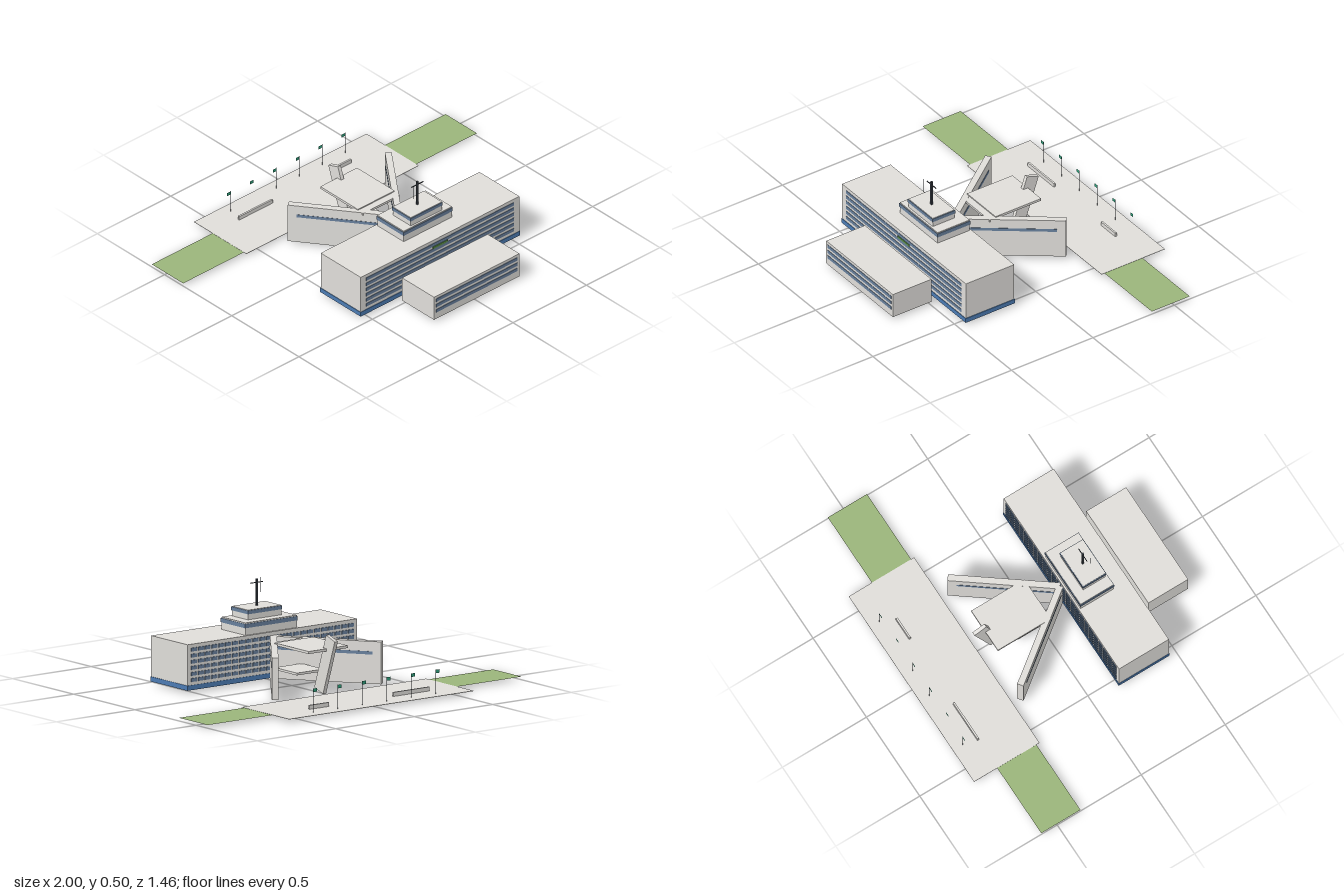
import * as THREE from 'three';

const mat = (name, color, side = THREE.FrontSide) => {
  const m = new THREE.MeshStandardMaterial({ color, side });
  m.name = name;
  return m;
};

export function createModel() {
  const root = new THREE.Group();
  root.name = 'assemblyComplex';
  const concrete = mat('concrete', 0xe0deda);
  const glass = mat('windowBlueGrey', 0x68809d);
  const blue = mat('baseBlue', 0x4c7cb4);
  const grass = mat('grass', 0x9bb67b, THREE.DoubleSide);
  const steel = mat('darkSteel', 0x3a4048);
  const teal = mat('flagTeal', 0x2fa07c, THREE.DoubleSide);
  const green = mat('signGreen', 0x5c8f4a);

  // Box given by its limits on each axis
  const box = (name, m, [x0, x1], [y0, y1], [z0, z1], parent = root) => {
    const mesh = new THREE.Mesh(new THREE.BoxGeometry(x1 - x0, y1 - y0, z1 - z0), m);
    mesh.position.set((x0 + x1) / 2, (y0 + y1) / 2, (z0 + z1) / 2);
    mesh.name = name;
    parent.add(mesh);
    return mesh;
  };
  // Upright flat sheet centred on a point
  const sheet = (name, m, w, h, x, y, z) => {
    const mesh = new THREE.Mesh(new THREE.PlaneGeometry(w, h), m);
    mesh.position.set(x, y, z);
    mesh.name = name;
    root.add(mesh);
    return mesh;
  };
  const sym = (w) => [-w, w];
  const G = 0.015; // ground level

  // Plaza and lawns
  box('plaza', concrete, sym(0.587), [G, G + 0.002], [-0.732, -0.343]);
  for (const s of [-1, 1])
    sheet('lawn', grass, 0.413, 0.233, s * 0.7935, G + 0.001, -0.478).rotation.x = -Math.PI / 2;
  box('plazaWall', concrete, [-0.41, -0.18], [G, 0.038], [-0.6, -0.59]);
  box('plazaWall', concrete, [0.23, 0.355], [G, 0.038], [-0.6, -0.59]);

  // Row of flagpoles
  for (let i = 0; i < 6; i++) {
    const x = -0.39 + i * 0.156;
    box('flagpole', steel, [x - 0.0008, x + 0.0008], [G, 0.141], [-0.676, -0.6744]);
    sheet('flag', teal, 0.024, 0.018, x - 0.012, 0.131, -0.6752);
  }

  // Main block with blue plinth
  box('mainBlock', concrete, sym(0.54), [0.038, 0.25], [0.16, 0.457]);
  box('mainPlinth', blue, sym(0.543), [G, 0.04], [0.157, 0.46]);
  box('signPlate', green, sym(0.05), [0.201, 0.212], [0.457, 0.462]);

  // Window bands in front, rows of separate windows behind
  for (let i = 0; i < 6; i++) {
    const y = 0.213 - i * 0.0312;
    box('frontWindowBand', glass, sym(0.503), [y, y + 0.018], [0.456, 0.459]);
    for (let j = 0; j < 24; j++) {
      const x = (j - 11.5) * 0.0435;
      box('backWindow', glass, [x - 0.0175, x + 0.0175], [y, y + 0.018], [0.156, 0.161]);
    }
  }

  // Low front block
  box('frontBlock', concrete, sym(0.291), [G, 0.152], [0.493, 0.73]);
  for (let i = 0; i < 3; i++) {
    const y = 0.118 - i * 0.032;
    box('frontBlockWindowBand', glass, sym(0.277), [y, y + 0.018], [0.729, 0.732]);
  }

  // Stepped roof storeys with glazed bands all round
  box('lowerRoofStorey', concrete, sym(0.164), [0.247, 0.314], [0.17, 0.366]);
  box('lowerRoofBand', glass, sym(0.167), [0.287, 0.308], [0.167, 0.369]);
  box('upperRoofStorey', concrete, sym(0.106), [0.312, 0.364], [0.222, 0.355]);
  box('upperRoofBand', glass, sym(0.109), [0.343, 0.361], [0.219, 0.358]);

  // Mast
  box('mast', steel, sym(0.005), [0.362, 0.502], [0.283, 0.293]);
  box('mastCrossbar', steel, sym(0.04), [0.481, 0.485], [0.286, 0.29]);
  box('mastSidePole', steel, [-0.042, -0.04], [0.424, 0.502], [0.307, 0.309]);

  // Two wing walls in a V, each with a window strip on both faces
  for (const s of [-1, 1]) {
    const wing = new THREE.Group();
    wing.name = s < 0 ? 'rightWing' : 'leftWing';
    wing.position.set(0, 0, 0.152);
    wing.rotation.y = -s * Math.atan2(0.34, 0.452);
    box('wingWall', concrete, sym(0.017), [G, 0.232], [-0.566, 0], wing);
    for (const f of [-1, 1])
      box('wingWindowStrip', glass, [f * 0.0175 - 0.001, f * 0.0175 + 0.001],
        [0.165, 0.181], [-0.52, -0.028], wing);
    root.add(wing);
  }

  // Entrance canopy, mezzanine and leaning pylon
  box('canopy', concrete, sym(0.125), [0.224, 0.237], [-0.297, -0.018]);
  box('canopyTongue', concrete, sym(0.125), [0.219, 0.231], [-0.018, 0.02]);
  box('mezzanine', concrete, sym(0.085), [0.086, 0.098], [-0.15, 0.03]);
  const pylon = box('leaningPylon', concrete, sym(0.01), [0.004, 0.302], [-0.317, -0.242]);
  pylon.rotation.x = -0.33;

  return root;
}
